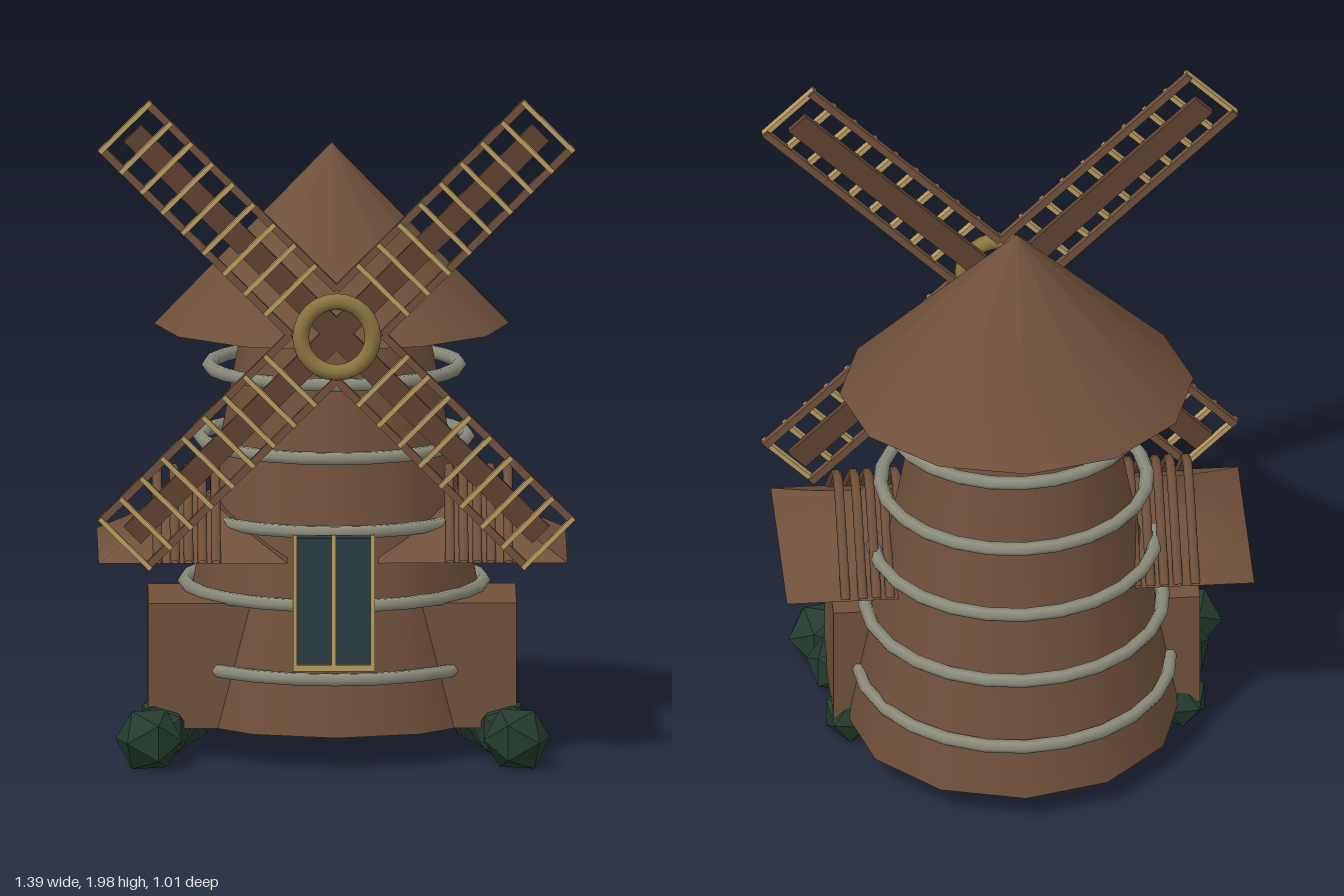
import * as THREE from 'three';

const mat = (name, color, extra = {}) => {
  const m = new THREE.MeshStandardMaterial({ color, ...extra });
  m.name = name;
  return m;
};

export function createModel() {
  const wood = mat('brown wood', 0x70503a);
  const darkWood = mat('dark sail wood', 0x5e4130);
  const trim = mat('pale gold trim', 0xb89c60);
  const hubGold = mat('hub gold', 0x8c7640);
  const stone = mat('grey green hoop', 0x8b8c7c);
  const glass = mat('dark glass', 0x2b3d42);
  const leaf = mat('dark green leaf', 0x243c2e, { flatShading: true });

  const root = new THREE.Group();
  root.name = 'windmill';
  const CZ = -0.025;

  const add = (parent, name, geo, material, x = 0, y = 0, z = 0) => {
    const m = new THREE.Mesh(geo, material);
    m.name = name;
    m.position.set(x, y, z);
    parent.add(m);
    return m;
  };
  const box = (parent, name, material, w, h, d, x, y, z) =>
    add(parent, name, new THREE.BoxGeometry(w, h, d), material, x, y, z);

  // Tapered tower and conical cap
  add(root, 'tower', new THREE.CylinderGeometry(0.262, 0.472, 1.14, 12), wood, 0, 0.68, CZ).scale.x = 1.03;
  const cap = add(root, 'capRoof', new THREE.ConeGeometry(0.453, 0.535, 12), wood, -0.01, 1.5175, -0.035);
  cap.scale.x = 1.14;

  // Hoops, a little wider across x towards the top
  for (let i = 0; i < 5; i++) {
    const t = i / 4;
    const r = THREE.MathUtils.lerp(0.456, 0.337, t);
    const hoop = new THREE.TorusGeometry(r, 0.02, 6, 24).rotateX(Math.PI / 2);
    add(root, 'hoop', hoop, stone, -0.003, 0.28 + 0.85 * t, -0.022).scale.x = 1 + 0.08 * t;
  }

  // Front window with gold bars
  const win = new THREE.Group();
  win.name = 'window';
  root.add(win);
  box(win, 'windowGlass', glass, 0.225, 0.39, 0.04, -0.008, 0.505, 0.42);
  for (const x of [-0.121, -0.008, 0.105])
    box(win, 'windowBar', trim, 0.013, 0.4, 0.02, x, 0.51, 0.44);
  box(win, 'windowSill', trim, 0.235, 0.018, 0.02, -0.008, 0.317, 0.44);

  // Side annexes: block, flared four-sided roof and arched ribs
  const arch = new THREE.CatmullRomCurve3([
    [0.41, 0.62], [0.3, 0.72], [0.19, 0.815], [0.115, 0.85], [0.04, 0.815], [-0.07, 0.72], [-0.18, 0.62],
  ].map(([z, y]) => new THREE.Vector3(0, y, z)));
  for (const s of [1, -1]) {
    const annex = new THREE.Group();
    annex.name = s > 0 ? 'leftAnnex' : 'rightAnnex';
    annex.position.x = -0.01;
    root.add(annex);
    box(annex, 'annexBlock', wood, 0.3, 0.37, 0.328, s * 0.385, 0.295, 0.122);

    const h = 0.2;
    const roof = new THREE.ConeGeometry(Math.SQRT2, h, 4, 4, false, Math.PI / 4);
    const p = roof.attributes.position;
    for (let i = 0; i < p.count; i++) {
      const t = 0.5 - p.getY(i) / h;
      const k = Math.pow(Math.max(t, 0), 0.25);
      p.setX(i, p.getX(i) * k * 0.275);
      p.setZ(i, p.getZ(i) * k * 0.298);
    }
    roof.computeVertexNormals();
    add(annex, 'annexRoof', roof, wood, s * 0.407, 0.62 + h / 2, 0.112);

    for (const x of [0.34, 0.38, 0.42, 0.46, 0.51])
      add(annex, 'roofRib', new THREE.TubeGeometry(arch, 18, 0.014, 6), wood, s * x, 0, 0);
  }

  // Four lattice sails around the hub
  const sails = new THREE.Group();
  sails.name = 'sails';
  sails.position.set(0, 1.302, 0);
  root.add(sails);
  for (let i = 0; i < 4; i++) {
    const sail = new THREE.Group();
    sail.name = 'sail';
    sail.rotation.z = Math.PI / 4 + (i * Math.PI) / 2;
    sails.add(sail);
    box(sail, 'sailSpar', darkWood, 0.07, 0.84, 0.02, 0, 0.42, 0.427);
    for (const x of [-0.095, 0.095])
      box(sail, 'sailRail', wood, 0.022, 0.78, 0.02, x, 0.485, 0.443);
    for (let k = 0; k < 9; k++)
      box(sail, 'sailSlat', trim, 0.21, 0.014, 0.022, 0, 0.19 + k * 0.085, 0.452);
  }
  add(sails, 'hubRing', new THREE.TorusGeometry(0.105, 0.024, 8, 24), hubGold, 0, 0, 0.485);

  // Low bushes on both sides
  for (const s of [1, -1])
    for (const [x, y, z, r] of [[0.535, 0.1, 0.405, 0.1], [0.5, 0.098, 0.26, 0.092], [0.44, 0.1, 0.05, 0.092], [0.48, 0.09, 0.01, 0.085]]) {
      const bush = add(root, 'bush', new THREE.IcosahedronGeometry(r, 0), leaf, s * x - 0.01, y, z);
      bush.rotation.y = s * (x + z) * 3;
    }

  return root;
}
